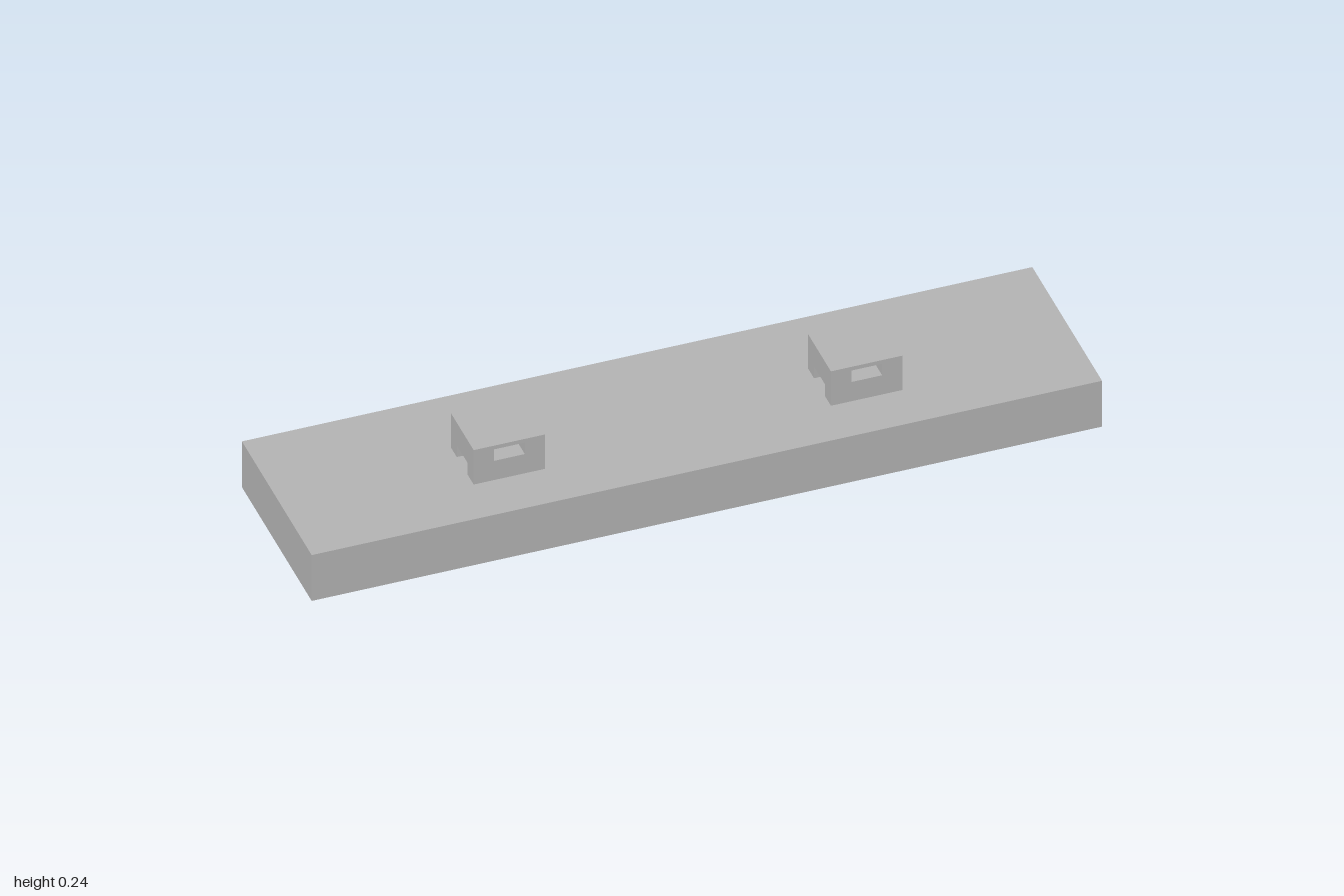
import * as THREE from 'three';
import { mergeGeometries, toCreasedNormals } from 'three/addons/utils/BufferGeometryUtils.js';

const FACES = ['right', 'left', 'top', 'bottom', 'front', 'back'];

// Box standing at (x, y, z) with only the listed faces; inward turns them to line an opening
function boxFaces(size, [x, y, z], faces, inward = false) {
  const g = new THREE.BoxGeometry(...size).translate(x, y + size[1] / 2, z);
  const all = Array.from(g.index.array);
  const kept = faces.flatMap((f) => all.slice(FACES.indexOf(f) * 6, FACES.indexOf(f) * 6 + 6));
  g.setIndex(inward ? kept.reverse() : kept);
  g.clearGroups();
  return g;
}

function polygon(points) {
  return new THREE.Shape(points.map(([x, y]) => new THREE.Vector2(x, y)));
}

function rect(x0, y0, x1, y1) {
  return polygon([[x0, y0], [x1, y0], [x1, y1], [x0, y1]]);
}

const join = (parts) => toCreasedNormals(mergeGeometries(parts), 0.6);

const L = 2, H = 0.136, D = 0.48;

// Plate with round blind holes in its underside
function plateGeometry() {
  const r = 0.03, depth = 0.09;
  const underside = rect(-L / 2, -D / 2, L / 2, D / 2);
  const parts = [boxFaces([L, H, D], [0, 0, 0], ['right', 'left', 'top', 'front', 'back'])];
  for (const x of [-0.933, -0.763, 0.763, 0.933]) {
    underside.holes.push(new THREE.Path().absarc(x, 0, r, 0, Math.PI * 2, true));
    const profile = [[0, depth], [r, depth], [r, 0]].map(([a, b]) => new THREE.Vector2(a, b));
    parts.push(new THREE.LatheGeometry(profile, 32).translate(x, 0, 0));
  }
  parts.push(new THREE.ShapeGeometry(underside, 16).rotateX(Math.PI / 2));
  return join(parts);
}

// Block with a channel below along x and a window above along z
function blockGeometry() {
  const w = 0.181, h = 0.102, d = 0.157;
  const chW = 0.075, chH = 0.035;
  const winW = 0.078, win0 = 0.057, win1 = 0.091;

  const face = rect(-w / 2, 0, w / 2, h);
  face.holes.push(rect(-winW / 2, win0, winW / 2, win1));
  const end = polygon([
    [-d / 2, 0], [-chW / 2, 0], [-chW / 2, chH], [chW / 2, chH],
    [chW / 2, 0], [d / 2, 0], [d / 2, h], [-d / 2, h],
  ]);

  const parts = [
    boxFaces([w, h, d], [0, 0, 0], ['top']),
    boxFaces([w, chH, chW], [0, 0, 0], ['top', 'front', 'back'], true),
    boxFaces([winW, win1 - win0, d], [0, win0, 0], ['right', 'left', 'top', 'bottom'], true),
  ];
  for (const turn of [0, Math.PI]) {
    parts.push(new THREE.ShapeGeometry(face).translate(0, 0, d / 2).rotateY(turn));
    parts.push(new THREE.ShapeGeometry(end).translate(0, 0, w / 2).rotateY(turn + Math.PI / 2));
  }
  return join(parts);
}

export function createModel() {
  const model = new THREE.Group();
  model.name = 'mountingPlate';
  const grey = new THREE.MeshStandardMaterial({ color: 0xb3b3b3 });
  grey.name = 'grey';

  const plate = new THREE.Mesh(plateGeometry(), grey);
  plate.name = 'plate';
  model.add(plate);

  const block = blockGeometry();
  for (const [name, side] of [['leftBlock', 1], ['rightBlock', -1]]) {
    const mesh = new THREE.Mesh(block, grey);
    mesh.name = name;
    mesh.position.set(side * 0.452, H, 0.032);
    model.add(mesh);
  }
  return model;
}
